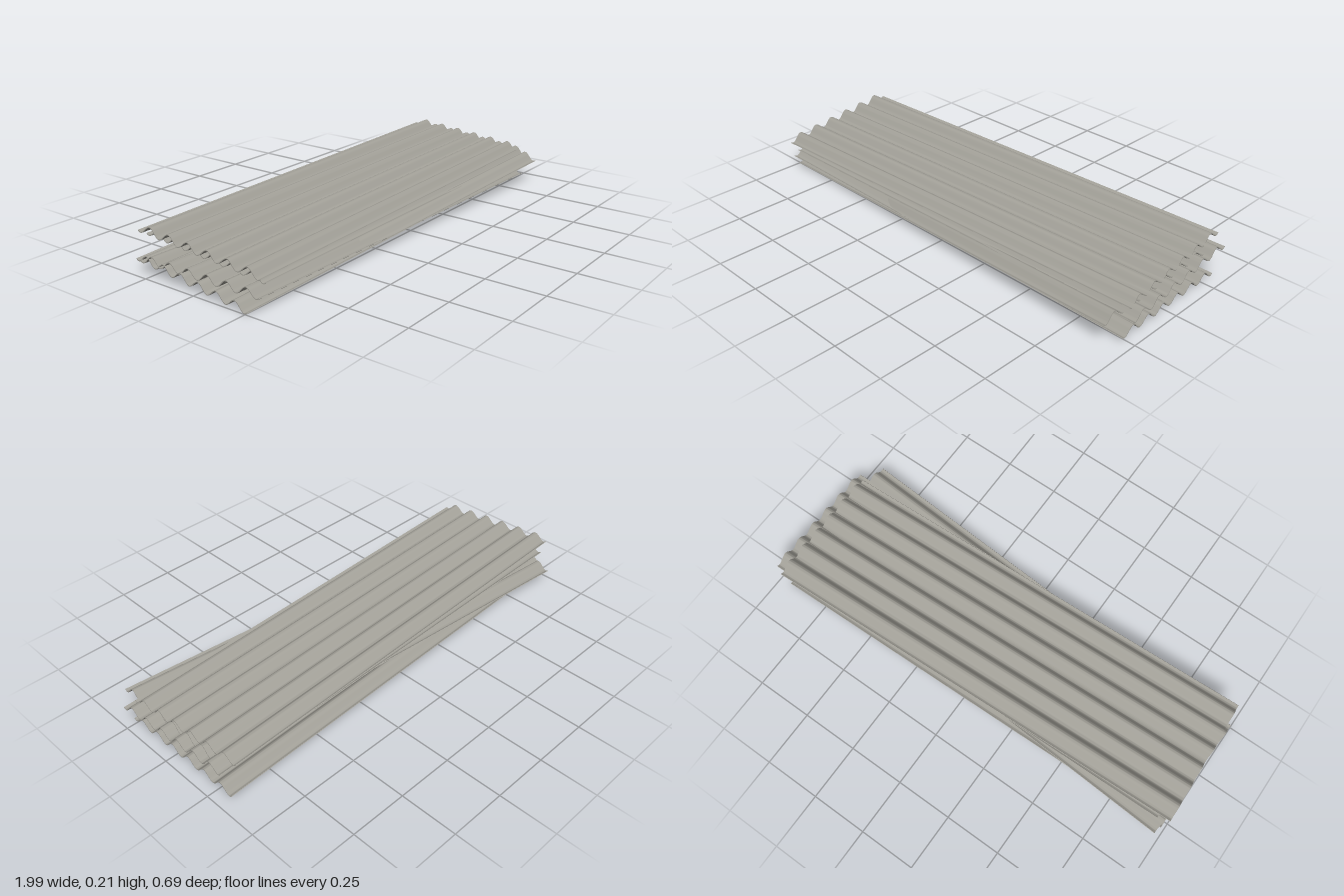
import * as THREE from 'three';
import { toCreasedNormals } from 'three/addons/utils/BufferGeometryUtils.js';

const LENGTH = 1.93, WIDTH = 0.584, PITCH = 0.093, AMP = 0.0165, THICK = 0.003;

// Corrugated sheet: a wavy strip of even thickness, extruded along x
function corrugatedSheet() {
  const steps = 126, top = [], bottom = [];
  const k = (2 * Math.PI) / PITCH;
  for (let i = 0; i <= steps; i++) {
    const s = (i / steps - 0.5) * WIDTH;
    const y = -AMP * Math.cos(k * s);
    const normal = new THREE.Vector2(-AMP * k * Math.sin(k * s), 1).normalize().multiplyScalar(THICK / 2);
    top.push(new THREE.Vector2(s + normal.x, y + normal.y));
    bottom.push(new THREE.Vector2(s - normal.x, y - normal.y));
  }
  const shape = new THREE.Shape([...bottom, ...top.reverse()]);
  const geometry = new THREE.ExtrudeGeometry(shape, { depth: LENGTH, bevelEnabled: false });
  geometry.translate(0, 0, -LENGTH / 2);
  geometry.rotateY(Math.PI / 2);
  return toCreasedNormals(geometry, 0.8);
}

export function createModel() {
  const group = new THREE.Group();
  group.name = 'corrugatedSheetStack';
  const metal = new THREE.MeshStandardMaterial({ color: 0xa3a199 });
  metal.name = 'weathered grey metal';
  const geometry = corrugatedSheet();

  // Loosely stacked sheets: position, then roll (x), yaw (y) and slope (z)
  const sheets = [
    ['topSheet', [-0.022, 0.175, -0.02], [0.09, 0.0366, -0.0063]],
    ['upperMiddleSheet', [0.022, 0.146, -0.013], [0.087, 0.017, -0.004]],
    ['slopingSheet', [-0.025, 0.095, 0.012], [0.085, -0.041, 0.052]],
    ['bottomSheet', [-0.015, 0.054, -0.013], [-0.008, 0.016, -0.024]],
  ];
  for (const [name, position, rotation] of sheets) {
    const sheet = new THREE.Mesh(geometry, metal);
    sheet.name = name;
    sheet.position.set(...position);
    sheet.rotation.set(...rotation);
    group.add(sheet);
  }
  return group;
}
